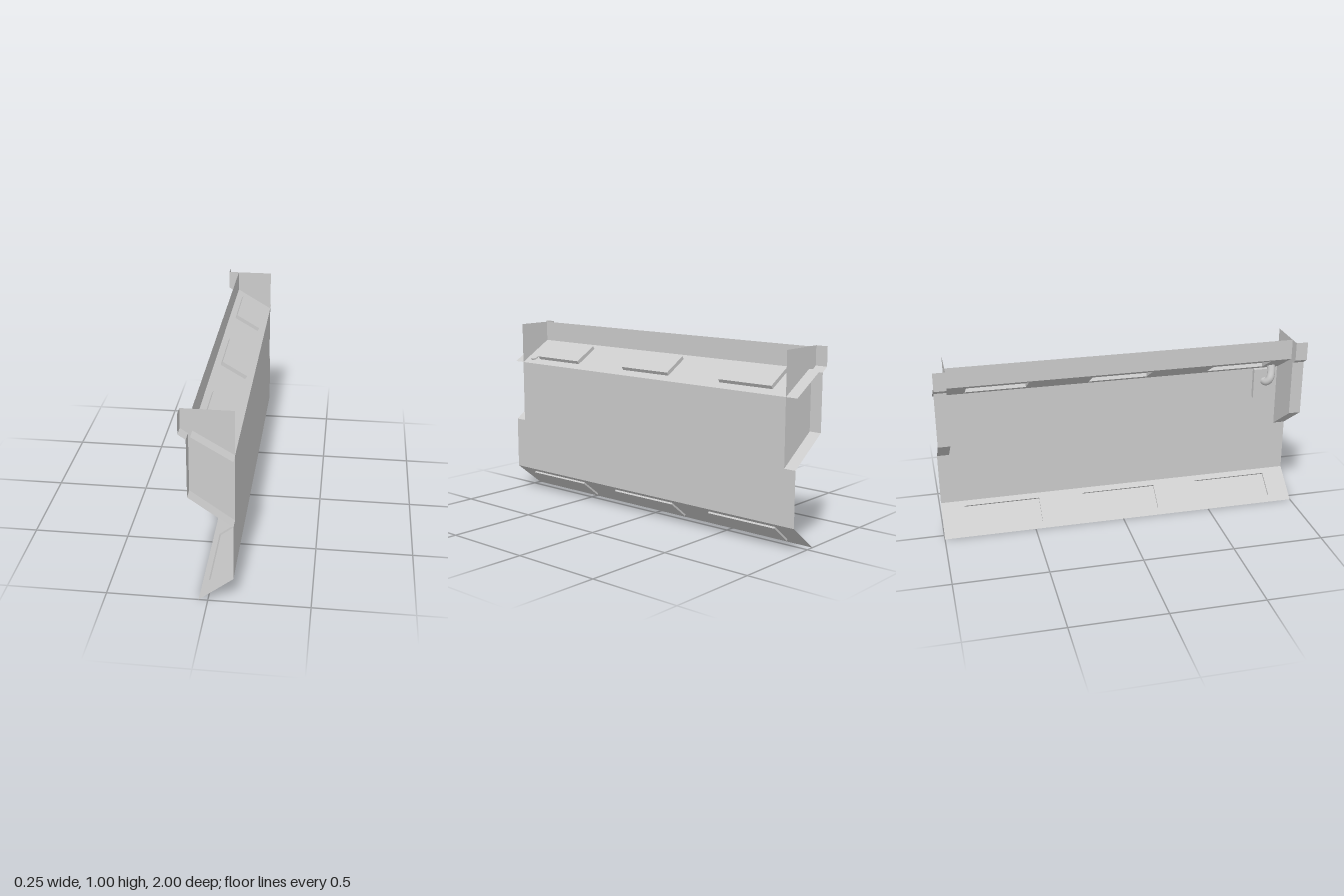
import * as THREE from 'three';

const material = new THREE.MeshStandardMaterial({ color: 0xcccccc, flatShading: true, side: THREE.DoubleSide });
const pipeMaterial = new THREE.MeshStandardMaterial({ color: 0xcccccc, side: THREE.DoubleSide });

const END = 0.935; // position of the end plates, inset from the full length

export function createModel() {
  const model = new THREE.Group();

  const add = (name, geometry, parent = model, mat = material) => {
    const mesh = new THREE.Mesh(geometry, mat);
    mesh.name = name;
    parent.add(mesh);
    return mesh;
  };
  const flat = (points) => new THREE.ShapeGeometry(new THREE.Shape(points.map(([x, y]) => new THREE.Vector2(x, y))));

  // Thin folded sheet: a line of [x, y] points swept from z0 to z1
  const fold = (points, z0, z1) => {
    const pos = [];
    for (let i = 0; i < points.length - 1; i++) {
      const [a, b] = [points[i], points[i + 1]];
      pos.push(...a, z0, ...b, z0, ...b, z1, ...a, z0, ...b, z1, ...a, z1);
    }
    const g = new THREE.BufferGeometry();
    g.setAttribute('position', new THREE.Float32BufferAttribute(pos, 3));
    g.computeVertexNormals();
    return g;
  };

  // Sloping sheet from point a up to point b, with three hollow pressed panels
  const pressedSheet = (name, a, b, { centres, width, u0, u1, depth }) => {
    const group = new THREE.Group();
    group.name = name;
    const length = Math.hypot(b[0] - a[0], b[1] - a[1]);
    const ux = (b[0] - a[0]) / length, uy = (b[1] - a[1]) / length;
    const sheet = new THREE.Shape([[-1, 0], [1, 0], [1, length], [-1, length]].map((p) => new THREE.Vector2(...p)));
    for (const z of centres) {
      const c = -z, w = width / 2;
      sheet.holes.push(new THREE.Path(
        [[c - w, u0], [c - w, u1], [c + w, u1], [c + w, u0]].map((p) => new THREE.Vector2(...p))));
      const tray = new THREE.BoxGeometry(width, u1 - u0, depth);
      tray.setIndex(Array.from(tray.index.array).slice(0, 30)); // leave the inner side open
      tray.translate(c, (u0 + u1) / 2, depth / 2);
      add(name + 'Panel', tray, group);
    }
    add(name + 'Sheet', new THREE.ShapeGeometry(sheet), group);
    group.applyMatrix4(new THREE.Matrix4().makeBasis(
      new THREE.Vector3(0, 0, -1), new THREE.Vector3(ux, uy, 0), new THREE.Vector3(uy, -ux, 0)
    ).setPosition(a[0], a[1], 0));
    model.add(group);
  };

  // Large face panel, notched at the upper corners
  const face = flat([[-1, 0.135], [1, 0.135], [1, 0.425], [END, 0.425], [END, 0.775],
    [-END, 0.775], [-END, 0.425], [-1, 0.425]]);
  face.rotateY(Math.PI / 2).translate(0.125, 0, 0);
  add('facePanel', face);

  // Upright wall behind the shelf
  add('backWall', fold([[-0.07, 0.89], [-0.07, 1]], -END, END));

  // Sloping shelf with raised panels, and lower lip pressed downwards
  pressedSheet('shelf', [0.125, 0.775], [-0.07, 0.89],
    { centres: [0.668, -0.002, -0.668], width: 0.325, u0: 0.044, u1: 0.192, depth: 0.02 });
  pressedSheet('lowerLip', [-0.045, 0], [0.125, 0.135],
    { centres: [0.668, 0.002, -0.664], width: 0.418, u0: 0.042, u1: 0.185, depth: 0.01 });

  // End plates with flanges folded outwards
  const outline = [[-0.127, 1], [-0.127, 0.9], [-0.09, 0.875], [-0.09, 0.575], [0.125, 0.425]];
  for (const side of [-1, 1]) {
    add('endPlate', flat([...outline, [0.125, 1]]).translate(0, 0, side * END));
    add('endFlange', fold(outline, side * END, side));
  }

  // Bent pipe under the shelf, running to a small mounting block
  const path = new THREE.CatmullRomCurve3([
    [0.085, 0.806, 0.88], [0.072, 0.77, 0.88], [0.062, 0.73, 0.87], [0.075, 0.708, 0.856], [0.105, 0.703, 0.85],
  ].map((p) => new THREE.Vector3(...p)));
  add('pipe', new THREE.TubeGeometry(path, 20, 0.022, 12), model, pipeMaterial);
  const cap = add('pipeCap', new THREE.CircleGeometry(0.022, 12));
  cap.position.copy(path.getPoint(0));
  cap.lookAt(cap.position.clone().sub(path.getTangent(0)));
  add('mountingBlock', new THREE.BoxGeometry(0.025, 0.17, 0.11).translate(0.1115, 0.69, 0.845));

  return model;
}
